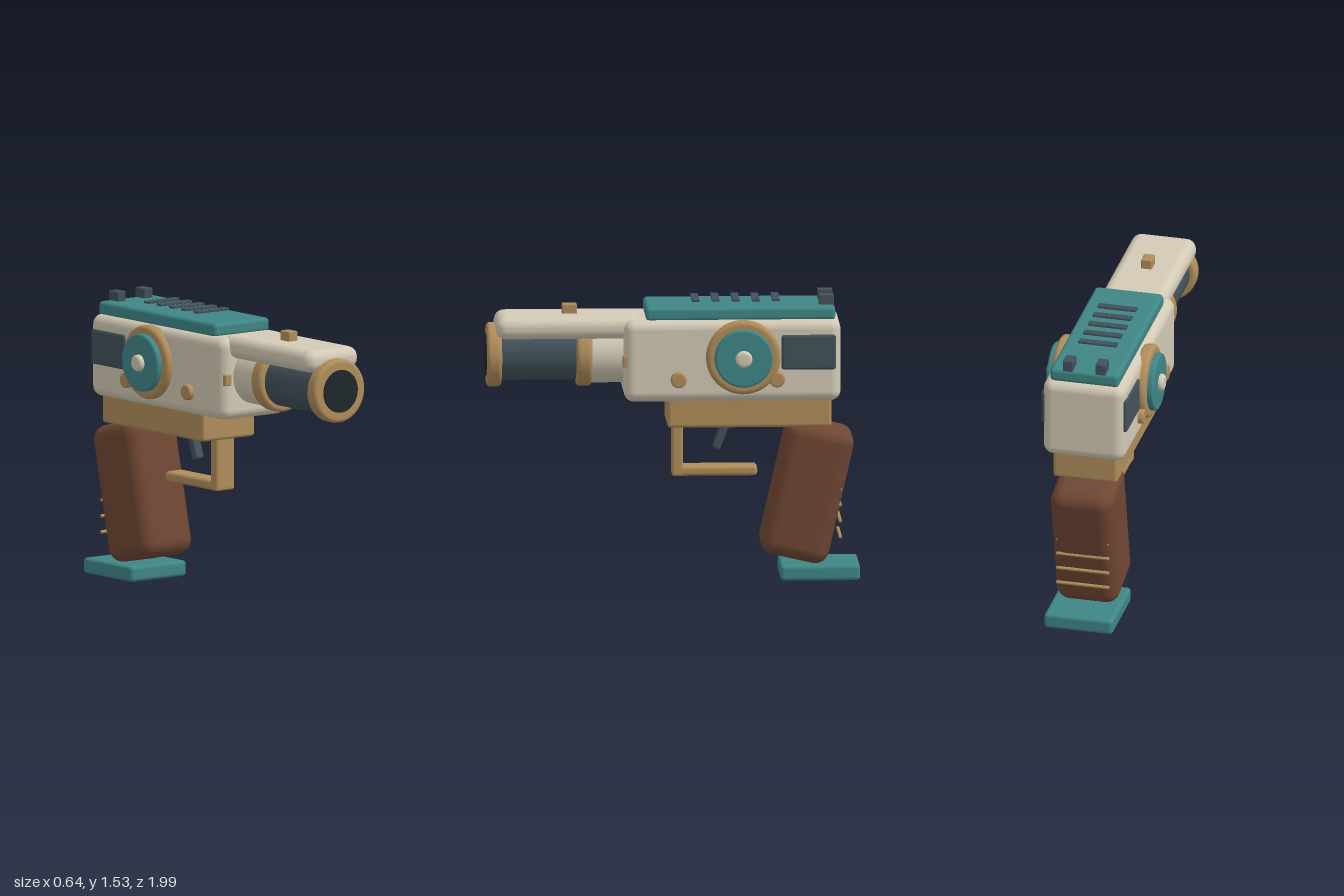
import * as THREE from 'three';
import { RoundedBoxGeometry } from 'three/addons/geometries/RoundedBoxGeometry.js';

const mat = (color) => new THREE.MeshStandardMaterial({ color });

export function createModel() {
  const model = new THREE.Group();
  const cream = mat(0xd3cab5), tan = mat(0xb08d5a), teal = mat(0x3f8686);
  const slate = mat(0x42515a), bore = mat(0x1f272b), wood = mat(0x6f4633);

  const add = (name, geometry, material, x, y, z) => {
    const mesh = new THREE.Mesh(geometry, material);
    mesh.name = name;
    mesh.position.set(x, y, z);
    model.add(mesh);
    return mesh;
  };

  // Box with rounded edges, given by centre and size
  const box = (name, material, [x, y, z], [w, h, d], r) =>
    add(name, new RoundedBoxGeometry(w, h, d, 4, r), material, x, y, z);

  // Solid disc or cylinder with rounded rims, along 'x' or 'z'
  const disc = (name, material, [x, y, z], radius, length, bevel, axis) => {
    const pts = [new THREE.Vector2(0, -length / 2)];
    for (const end of [-1, 1]) {
      for (let i = 0; i <= 5; i++) {
        const a = (end < 0 ? i - 5 : i) * Math.PI / 10;
        pts.push(new THREE.Vector2(
          radius - bevel + bevel * Math.cos(a),
          end * (length / 2 - bevel) + bevel * Math.sin(a)));
      }
    }
    pts.push(new THREE.Vector2(0, length / 2));
    const geo = new THREE.LatheGeometry(pts, 48);
    if (axis === 'z') geo.rotateX(Math.PI / 2);
    else geo.rotateZ(Math.PI / 2);
    return add(name, geo, material, x, y, z);
  };

  // Main body and lower frame
  box('body', cream, [0, 1.196, -0.31], [0.45, 0.442, 1.155], 0.055);
  box('lowerFrame', tan, [0, 0.91, -0.403], [0.354, 0.16, 0.875], 0.018);

  // Top plate, vents and sights
  box('topPlate', teal, [0, 1.445, -0.355], [0.376, 0.075, 1.01], 0.022);
  for (let i = 0; i < 5; i++) {
    box('vent', slate, [0, 1.506, -0.119 - i * 0.107], [0.212, 0.013, 0.042], 0.004);
  }
  box('frontSight', tan, [0, 1.445, 0.55], [0.06, 0.07, 0.08], 0.008);

  // Barrel along z
  const by = 1.208;
  box('barrelShroud', cream, [0, 1.368, 0.56], [0.352, 0.12, 0.775], 0.055);
  disc('barrelSleeve', cream, [0, by, 0.33], 0.155, 0.3, 0.008, 'z');
  disc('barrel', slate, [0, by, 0.7], 0.138, 0.54, 0.008, 'z');
  disc('rearBarrelRing', tan, [0, by, 0.475], 0.172, 0.085, 0.022, 'z');
  disc('muzzleRing', tan, [0, by, 0.954], 0.172, 0.08, 0.022, 'z');
  disc('muzzleBore', bore, [0, by, 0.97], 0.115, 0.06, 0.003, 'z');

  // Parts mirrored on both sides
  for (const s of [-1, 1]) {
    box('rearSight', slate, [s * 0.09, 1.5, -0.815], [0.056, 0.07, 0.08], 0.006);
    box('frontTab', tan, [s * 0.19, 1.195, 0.258], [0.042, 0.06, 0.032], 0.006);
    box('sidePanel', slate, [s * 0.222, 1.244, -0.716], [0.03, 0.188, 0.29], 0.0145);
    disc('dialRim', tan, [s * 0.225, 1.22, -0.367], 0.199, 0.072, 0.025, 'x');
    disc('dialFace', teal, [s * 0.262, 1.22, -0.367], 0.155, 0.064, 0.012, 'x');
    disc('dialHub', cream, [s * 0.295, 1.22, -0.367], 0.045, 0.054, 0.018, 'x');
    disc('frontKnob', tan, [s * 0.235, 1.1, -0.022], 0.042, 0.042, 0.01, 'x');
    disc('rearKnob', tan, [s * 0.235, 1.1, -0.547], 0.042, 0.042, 0.01, 'x');
  }

  // Trigger and guard
  box('guardPost', tan, [0, 0.7, -0.024], [0.122, 0.3, 0.058], 0.012);
  box('guardBar', tan, [0, 0.577, -0.222], [0.122, 0.055, 0.456], 0.02);
  box('trigger', slate, [0, 0.775, -0.262], [0.055, 0.18, 0.045], 0.012).rotation.x = -0.36;

  // Raked grip, its bands and base plate
  box('grip', wood, [0, 0.467, -0.714], [0.344, 0.735, 0.37], 0.075).rotation.x = -0.227;
  for (let i = 0; i < 4; i++) {
    disc('gripBand', tan, [0, 0.23 + i * 0.086, -0.888], 0.009, 0.29, 0.004, 'x');
  }
  box('basePlate', teal, [0, 0.042, -0.78], [0.376, 0.084, 0.425], 0.02);

  return model;
}
